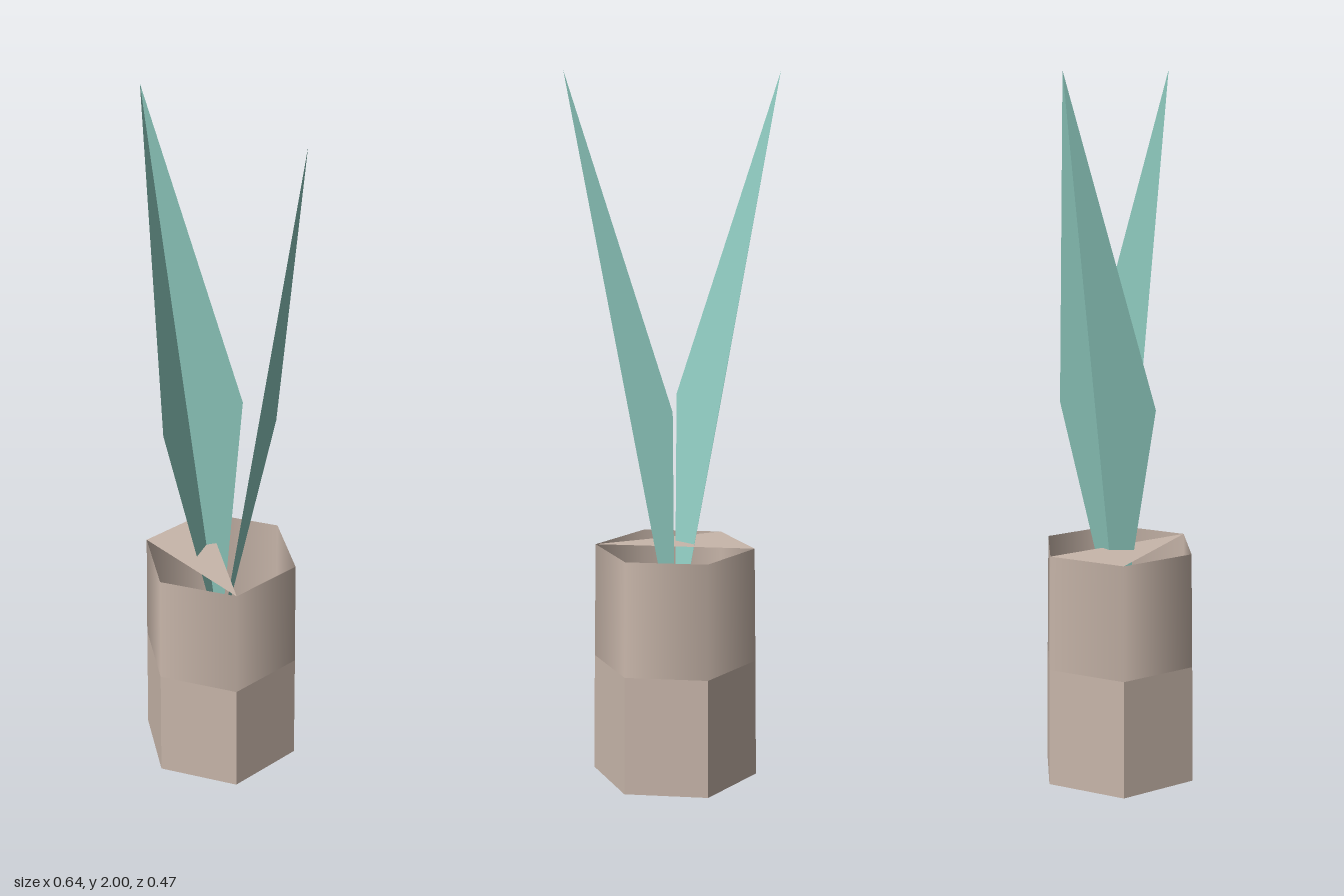
import * as THREE from 'three';

const clay = new THREE.MeshStandardMaterial({ name: 'clay', color: 0xc8b6aa, side: THREE.DoubleSide });
const leafGreen = new THREE.MeshStandardMaterial({ name: 'leafGreen', color: 0x8ecabf, side: THREE.DoubleSide });

const BOTTOM_R = 0.237, MID_R = 0.233, TOP_R = 0.228;
const MID_Y = 0.34, TOP_Y = 0.67;

function addPart(parent, name, geometry, material) {
  const mesh = new THREE.Mesh(geometry, material);
  mesh.name = name;
  parent.add(mesh);
  return mesh;
}

// One flat triangle from three corner points
function triangle(a, b, c) {
  const geo = new THREE.BufferGeometry();
  geo.setAttribute('position', new THREE.Float32BufferAttribute([...a, ...b, ...c], 3));
  geo.computeVertexNormals();
  return geo;
}

// Open six-sided wall between two heights
function wall(topR, bottomR, y0, y1) {
  return new THREE.CylinderGeometry(topR, bottomR, y1 - y0, 6, 1, true).translate(0, (y0 + y1) / 2, 0);
}

function createPot() {
  const pot = new THREE.Group();
  pot.name = 'pot';

  // Lower wall has hard edges, upper wall is shaded smoothly
  const lower = wall(MID_R, BOTTOM_R, 0, MID_Y).toNonIndexed();
  lower.computeVertexNormals();
  addPart(pot, 'lowerWall', lower, clay);
  addPart(pot, 'upperWall', wall(TOP_R, MID_R, MID_Y, TOP_Y), clay);

  // Floor, facing down
  const floor = new THREE.CircleGeometry(BOTTOM_R, 6, Math.PI / 2).rotateX(Math.PI / 2);
  addPart(pot, 'floor', floor, clay);

  // Remaining shard of the top cover, spanning three rim corners
  const x = TOP_R * Math.sqrt(3) / 2, z = TOP_R / 2;
  addPart(pot, 'topShard', triangle([-x, TOP_Y, z], [x, TOP_Y, z], [-x, TOP_Y, -z]), clay);
  return pot;
}

// Half of a folded leaf: sx picks the leaf, sz picks the side of its fold
function leafHalf(sx, sz) {
  const base = [0, 0.36, 0], tip = [sx * 0.322, 2, 0], wing = [sx * 0.07, 1.085, sz * 0.149];
  return sx * sz > 0 ? triangle(base, wing, tip) : triangle(base, tip, wing);
}

export function createModel() {
  const model = new THREE.Group();
  model.name = 'pottedPlant';
  model.add(createPot());

  // The right leaf has both halves, the left leaf only its rear half
  const halves = [
    ['rightLeafFront', -1, 1],
    ['rightLeafBack', -1, -1],
    ['leftLeafBack', 1, -1],
  ];
  for (const [name, sx, sz] of halves) addPart(model, name, leafHalf(sx, sz), leafGreen);
  return model;
}
